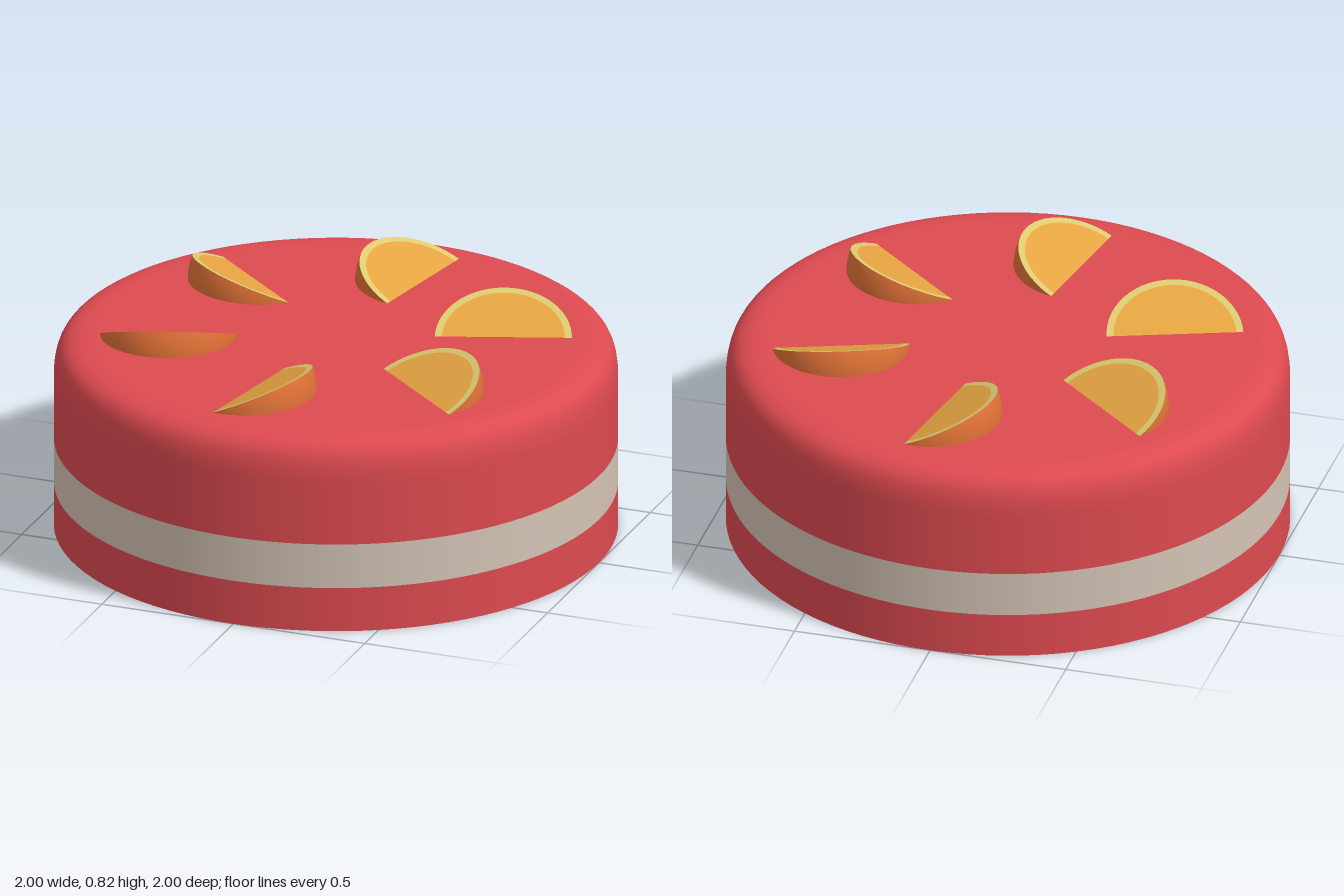
import * as THREE from 'three';

const material = (name, color, side = THREE.FrontSide) => {
  const m = new THREE.MeshStandardMaterial({ color, side });
  m.name = name;
  return m;
};

const mesh = (name, geometry, mat) => {
  const m = new THREE.Mesh(geometry, mat);
  m.name = name;
  return m;
};

export function createModel() {
  const red = material('glaze red', 0xdd4a50, THREE.DoubleSide);
  const cream = material('filling cream', 0xd3c3b4, THREE.DoubleSide);
  const skin = material('peel orange', 0xdd7036);
  const pith = material('pith yellow', 0xdcca70);
  const flesh = material('fruit orange', 0xe6a442);

  const model = new THREE.Group();
  model.name = 'cake';

  // Round shell, open underneath: lower layer, cream band, upper layer with rounded shoulder
  const LID = 0.72;
  const turned = (points) => new THREE.LatheGeometry(points, 96);
  const v = (x, y) => new THREE.Vector2(x, y);
  const shoulder = new THREE.CubicBezierCurve(v(1, 0.56), v(1, 0.68), v(0.97, LID), v(0.86, LID));
  model.add(mesh('lowerLayer', turned([v(1, 0), v(1, 0.165)]), red));
  model.add(mesh('creamBand', turned([v(1, 0.165), v(1, 0.332)]), cream));
  model.add(mesh('upperLayer', turned([v(1, 0.332), ...shoulder.getPoints(14), v(0.6, LID), v(0, LID)]), red));

  // Fruit wedge: a thin segment of a sphere, hinged on its straight edge along z
  const R = 0.243, INNER = 0.218;
  const low = THREE.MathUtils.degToRad(2), high = THREE.MathUtils.degToRad(24.5);
  const arc = Array.from({ length: 29 }, (_, i) => {
    const t = (Math.PI * i) / 28;
    return v(R * Math.sin(t), -R * Math.cos(t));
  });
  const peelGeo = new THREE.LatheGeometry(arc, 6, Math.PI / 2 + low, high - low).rotateX(Math.PI / 2);
  const half = [-Math.PI / 2, Math.PI];
  const pithGeo = new THREE.RingGeometry(INNER, R, 28, 1, ...half).rotateX(-Math.PI / 2).rotateZ(high);
  const fleshGeo = new THREE.CircleGeometry(INNER, 28, ...half).rotateX(-Math.PI / 2).rotateZ(high);
  const underGeo = new THREE.CircleGeometry(R, 28, ...half).rotateX(Math.PI / 2).rotateZ(low);

  // Six wedges in a ring, each lying along a radius
  for (let i = 0; i < 6; i++) {
    const wedge = new THREE.Group();
    wedge.name = 'fruitWedge';
    wedge.add(
      mesh('peel', peelGeo, skin),
      mesh('pithRim', pithGeo, pith),
      mesh('fruitFace', fleshGeo, flesh),
      mesh('underside', underGeo, flesh)
    );
    wedge.position.set(0, LID - 0.001, 0.593);
    const spoke = new THREE.Group();
    spoke.name = 'wedgeSpoke';
    spoke.rotation.y = -THREE.MathUtils.degToRad(10.2 + i * 60);
    spoke.add(wedge);
    model.add(spoke);
  }
  return model;
}
